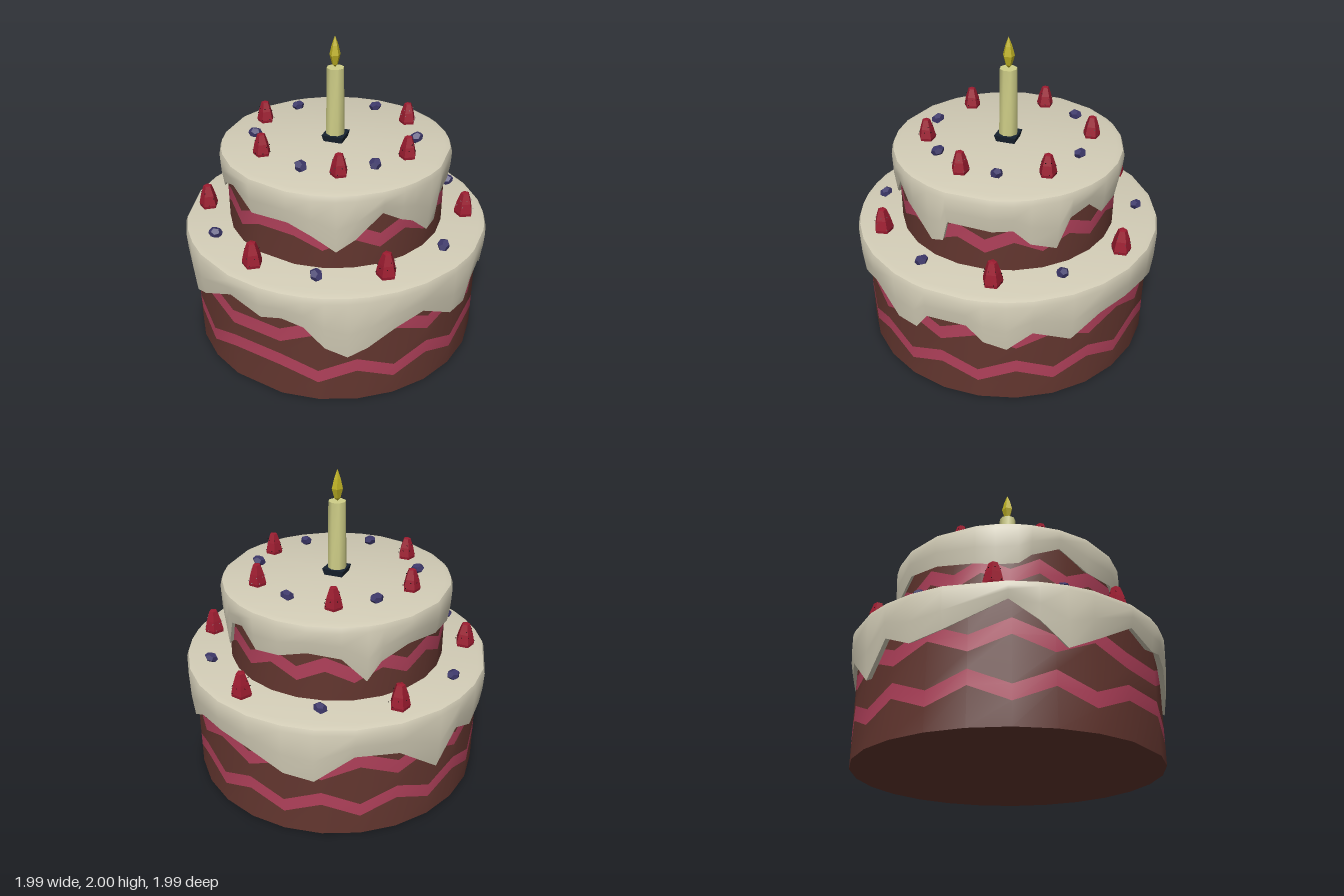
import * as THREE from 'three';
import { toCreasedNormals } from 'three/addons/utils/BufferGeometryUtils.js';

const mat = (color, flatShading = false) =>
  new THREE.MeshStandardMaterial({ color, flatShading, side: THREE.DoubleSide });
const brown = mat(0x63362f), pink = mat(0xb0405a), cream = mat(0xd2ccb6);
const red = mat(0x9c1c30, true), blue = mat(0x3c3769, true), seedMat = mat(0x1c1414, true);
const wax = mat(0xd0cf88), yellow = mat(0xbfb224, true), navy = mat(0x17222f, true);

function mesh(geometry, material, name) {
  const m = new THREE.Mesh(geometry, material);
  m.name = name;
  return m;
}

// Closed surface through rings of [angle, radius, y], listed from bottom to top
function loft(rings, crease) {
  const n = rings[0].length, pos = [], index = [];
  for (const ring of rings)
    for (const [a, r, y] of ring) pos.push(r * Math.sin(a), y, r * Math.cos(a));
  for (let j = 0; j < rings.length - 1; j++)
    for (let i = 0; i < n; i++) {
      const k = (i + 1) % n, a = j * n + i, b = j * n + k;
      index.push(a, b, b + n, a, b + n, a + n);
    }
  const g = new THREE.BufferGeometry();
  g.setAttribute('position', new THREE.Float32BufferAttribute(pos, 3));
  g.setIndex(index);
  g.computeVertexNormals();
  return crease ? toCreasedNormals(g, crease) : g;
}

// Sponge tier: edges are [middle height, zigzag amplitude], bands alternate brown and pink
function tier(name, radius, edges) {
  const group = new THREE.Group();
  group.name = name;
  const count = 25, gap = 0.363, step = (2 * Math.PI - gap) / (count - 1);
  const ring = ([y, amp]) => Array.from({ length: count }, (_, i) =>
    [gap / 2 + i * step, radius, y + (i % 2 ? -amp : amp)]);
  for (let i = 0; i < edges.length - 1; i++)
    group.add(mesh(loft([ring(edges[i]), ring(edges[i + 1])]), i % 2 ? pink : brown,
      i % 2 ? 'zigzagBand' : 'sponge'));
  const base = ring(edges[0]);
  group.add(mesh(loft([base.map(([a, , y]) => [a, 0, y]), base]), brown, 'spongeBase'));
  return group;
}

// Icing: drips are [degrees from the front, height of the lower edge]
function icing(name, radius, inner, top, drips) {
  const ring = (r, height) => drips.map(([deg, y]) =>
    [THREE.MathUtils.degToRad(deg), r, height(y)]);
  return mesh(loft([
    ring(inner, y => y + 0.03),
    ring(radius - 0.02, y => y),
    ring(radius - 0.005, y => y + (top - y) * 0.4),
    ring(radius, () => top - 0.045),
    ring(radius - 0.012, () => top - 0.012),
    ring(radius - 0.05, () => top),
    ring(0, () => top),
  ], 0.9), cream, name);
}

// Strawberry with a ring of tiny seeds
function strawberry(x, y, z, h, turn) {
  const g = new THREE.Group();
  g.name = 'strawberry';
  const profile = [[0, 0], [0.38, 0.02], [0.4, 0.14], [0.31, 0.55], [0.17, 0.97], [0, 1]];
  g.add(mesh(new THREE.LatheGeometry(
    profile.map(([r, v]) => new THREE.Vector2(r * h, v * h)), 5), red, 'berryBody'));
  for (let i = 0; i < 12; i++) {
    const seed = mesh(new THREE.TetrahedronGeometry(0.005), seedMat, 'seed');
    const v = 0.2 + 0.25 * (i % 3), r = (0.44 - 0.24 * v) * h, a = i * 2.4;
    seed.position.set(r * Math.sin(a), v * h, r * Math.cos(a));
    g.add(seed);
  }
  g.position.set(x, y, z);
  g.rotation.y = turn;
  return g;
}

function blueberry(x, y, z, turn) {
  const m = mesh(new THREE.DodecahedronGeometry(0.043), blue, 'blueberry');
  m.scale.set(1.05, 0.75, 0.9);
  m.position.set(x, y + 0.032, z);
  m.rotation.set(0.2, turn, 0.25);
  return m;
}

export function createModel() {
  const cake = new THREE.Group();
  cake.name = 'tieredCake';

  cake.add(tier('lowerTier', 0.945,
    [[0, 0], [0.18, 0.045], [0.27, 0.045], [0.455, -0.045], [0.55, -0.045], [0.78, 0]]));
  cake.add(tier('upperTier', 0.7,
    [[0.79, 0], [0.965, 0.04], [1.06, 0.04], [1.29, 0]]));

  cake.add(icing('lowerIcing', 0.995, 0.92, 0.805, [
    [4, 0.58], [12, 0.61], [20, 0.57], [27, 0.43], [35, 0.36], [42, 0.42], [52, 0.53],
    [63, 0.59], [77, 0.46], [86, 0.46], [91, 0.58], [106, 0.59], [112, 0.48], [120, 0.43],
    [129, 0.55], [143, 0.45], [155, 0.57], [168, 0.58], [182, 0.55], [195, 0.45],
    [206, 0.42], [220, 0.6], [236, 0.58], [252, 0.38], [262, 0.58], [273, 0.5],
    [285, 0.54], [306, 0.69], [316, 0.57], [325, 0.43], [334, 0.5], [351, 0.65]]));
  cake.add(icing('upperIcing', 0.74, 0.68, 1.32, [
    [8, 1.1], [20, 1.03], [31, 0.93], [40, 1.01], [53, 1.165], [63, 1.09], [70, 1.05],
    [81, 0.93], [88, 0.96], [91, 1.1], [113, 1.09], [123, 1.1], [131, 1.0], [144, 0.94],
    [151, 1.13], [162, 1.17], [172, 1.06], [186, 1.08], [200, 1.13], [216, 1.1],
    [228, 0.94], [235, 1.06], [250, 1.13], [270, 1.1], [291, 1.06], [300, 1.04],
    [311, 1.05], [317, 1.11], [331, 1.18], [347, 1.08]]));

  // Fruit rings, as x and z on each tier
  const fruit = [
    { y: 0.82, h: 0.16,
      red: [[0.1, -0.86], [0.77, -0.35], [0.66, 0.53], [-0.07, 0.84], [-0.73, 0.43], [-0.74, -0.45]],
      blue: [[-0.39, -0.75], [0.51, -0.67], [0.83, 0.11], [0.33, 0.77], [-0.45, 0.71], [-0.86, 0]] },
    { y: 1.33, h: 0.14,
      red: [[-0.28, -0.45], [0.29, -0.44], [0.52, 0.02], [0.28, 0.43], [-0.26, 0.44], [-0.53, 0.02]],
      blue: [[0.01, -0.51], [0.47, -0.2], [0.42, 0.25], [0.06, 0.5], [-0.44, 0.26], [-0.45, -0.25]] },
  ];
  for (const f of fruit) {
    f.red.forEach(([x, z], i) => cake.add(strawberry(x, f.y, z, f.h, i * 1.3)));
    f.blue.forEach(([x, z], i) => cake.add(blueberry(x, f.y, z, i * 0.9)));
  }

  // Candle on a small square holder
  const holder = mesh(new THREE.CylinderGeometry(0.1, 0.085, 0.045, 4), navy, 'candleHolder');
  holder.position.y = 1.34;
  holder.rotation.y = Math.PI / 4 + 0.2;
  const candle = mesh(toCreasedNormals(
    new THREE.CylinderGeometry(0.055, 0.061, 0.46, 8), 0.9), wax, 'candle');
  candle.position.set(-0.003, 1.57, 0);
  const flame = mesh(new THREE.LatheGeometry([[0, 0], [0.022, 0.02], [0.04, 0.08],
    [0.024, 0.14], [0, 0.2]].map(p => new THREE.Vector2(...p)), 5), yellow, 'flame');
  flame.position.set(-0.005, 1.8, 0);
  flame.scale.x = 0.85;
  cake.add(holder, candle, flame);
  return cake;
}
